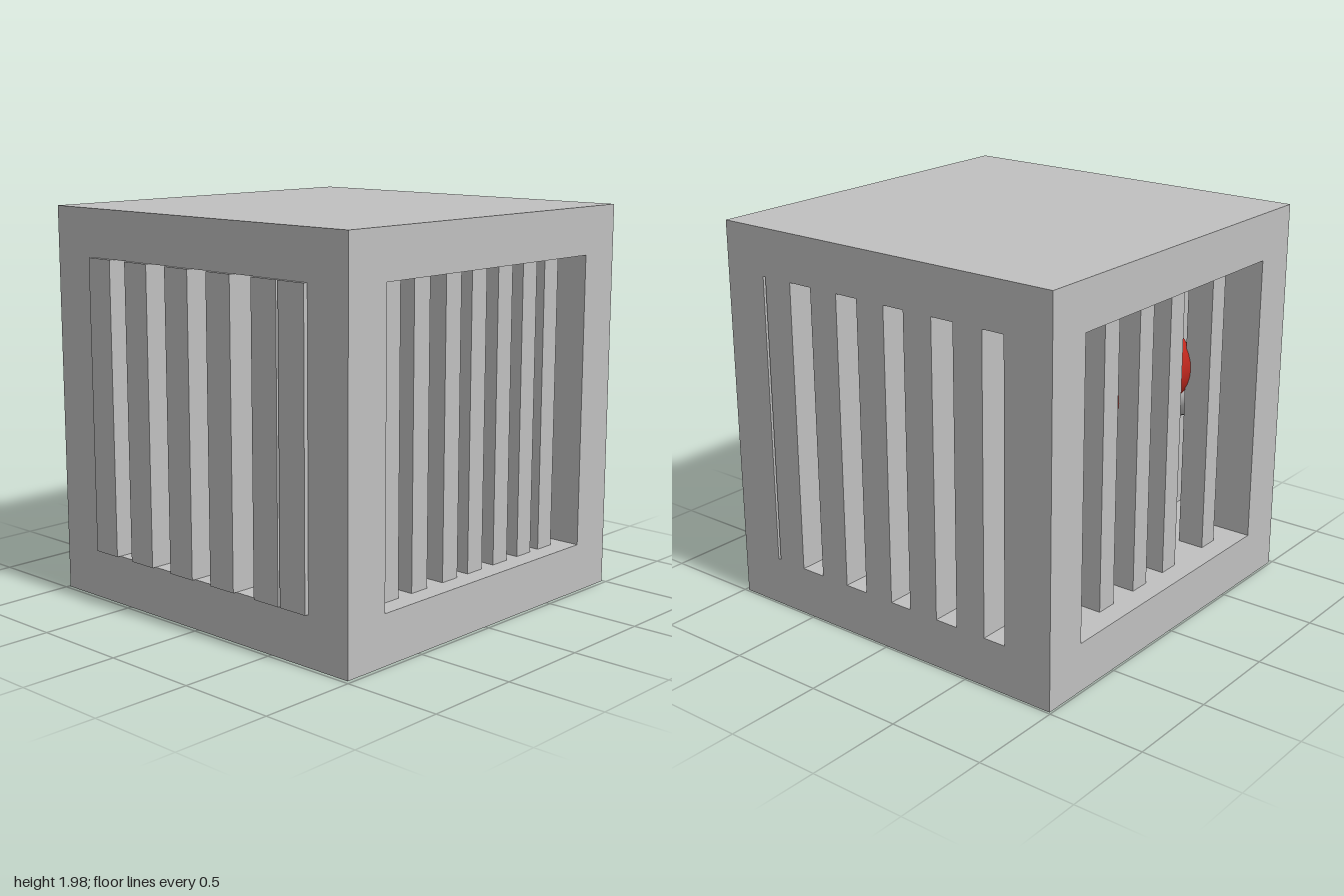
import * as THREE from 'three';
import { toCreasedNormals } from 'three/addons/utils/BufferGeometryUtils.js';
import { RoundedBoxGeometry } from 'three/addons/geometries/RoundedBoxGeometry.js';

const material = (name, color) => Object.assign(new THREE.MeshStandardMaterial({ color }), { name });

export function createModel() {
  const cageGrey = material('cageGrey', 0xc0c0c0);
  const red = material('red', 0xc0281e);
  const dark = material('darkGrey', 0x4a4a4a);
  const brown = material('brown', 0x6b2a0c);

  const model = new THREE.Group();
  model.name = 'cagedEngine';
  const cage = new THREE.Group();
  cage.name = 'cage';
  const engine = new THREE.Group();
  engine.name = 'engine';
  model.add(cage, engine);
  const ENGINE_Z = -0.04; // centre plane of the engine

  const add = (parent, name, geometry, mat) => {
    const mesh = new THREE.Mesh(geometry, mat);
    mesh.name = name;
    parent.add(mesh);
    return mesh;
  };
  // box given by its limits on each axis
  const box = (parent, name, mat, [x0, x1], [y0, y1], [z0, z1], radius = 0) => {
    const size = [x1 - x0, y1 - y0, z1 - z0];
    const geo = radius ? new RoundedBoxGeometry(...size, 4, radius) : new THREE.BoxGeometry(...size);
    add(parent, name, geo, mat).position.set((x0 + x1) / 2, (y0 + y1) / 2, (z0 + z1) / 2);
  };
  // profile of [z, y] points extruded along x
  const extrudeX = (parent, name, mat, points, x0, x1, bevel) => {
    const shape = new THREE.Shape(points.map(([z, y]) => new THREE.Vector2(-z, y)));
    const geo = new THREE.ExtrudeGeometry(shape, {
      depth: x1 - x0 - 2 * bevel, bevelEnabled: bevel > 0, bevelThickness: bevel,
      bevelSize: bevel, bevelOffset: -bevel, bevelSegments: 4,
    });
    geo.rotateY(Math.PI / 2);
    geo.translate(x0 + bevel, 0, 0);
    add(parent, name, toCreasedNormals(geo, 0.5), mat);
  };

  // cage: floor, roof and corner posts
  box(cage, 'floor', cageGrey, [-0.98, 0.99], [0, 0.25], [-0.99, 0.98]);
  box(cage, 'roof', cageGrey, [-0.98, 0.99], [1.74, 1.98], [-0.99, 0.98]);
  const opening = [0.25, 1.74];
  for (const x of [[-0.98, -0.735], [0.755, 0.99]])
    for (const z of [[-0.99, -0.73], [0.74, 0.98]]) box(cage, 'cornerPost', cageGrey, x, opening, z);

  // cage bars on the four sides
  for (const x of [-0.64, -0.435, -0.21, -0.02, 0.18, 0.375, 0.55])
    box(cage, 'frontBar', cageGrey, [x, x + 0.11], opening, [0.74, 0.88]);
  for (const x of [-0.57, -0.2, 0.06, 0.34, 0.625])
    box(cage, 'backBar', cageGrey, [x, x + 0.113], opening, [-0.88, -0.74]);
  for (const z of [-0.61, -0.32, -0.035, 0.26, 0.56])
    box(cage, 'leftBar', cageGrey, [0.84, 0.99], opening, [z, z + 0.165]);
  for (const z of [-0.73, -0.46, -0.17, 0.115, 0.41, 0.58])
    box(cage, 'rightBar', cageGrey, [-1, -0.85], opening, [z, z + 0.158]);

  // engine block, sump and neck
  box(engine, 'upperBlock', cageGrey, [-0.7, 0.5], [0.93, 1.41], [-0.235, 0.155], 0.07);
  box(engine, 'lowerBlock', cageGrey, [-0.7, 0.5], [0.41, 0.84], [-0.225, 0.145], 0.07);
  box(engine, 'neck', cageGrey, [-0.62, 0.42], [0.8, 0.98], [-0.17, 0.09]);
  box(engine, 'sump', dark, [-0.66, 0.35], [0.455, 0.685], [-0.3, 0.265], 0.015);

  // cylinder covers: round outside, pointed towards the middle, on red arms
  for (const side of [1, -1]) {
    const at = (d, y) => [ENGINE_Z + side * d, y];
    const cover = [at(0.275, 1.2)];
    for (let i = 0; i <= 24; i++) {
      const a = Math.PI * (-0.75 + (1.5 * i) / 24);
      cover.push(at(0.52 + 0.21 * Math.cos(a), 1.2 + 0.21 * Math.sin(a)));
    }
    extrudeX(engine, 'cylinderCover', red, cover, -0.5, 0.42, 0.03);
    extrudeX(engine, 'coverArm', red,
      [at(0.1, 0.99), at(0.26, 0.99), at(0.54, 1.09), at(0.5, 1.15), at(0.26, 1.06), at(0.1, 1.06)], -0.46, 0.4, 0);

    // exhaust pipes
    const path = new THREE.CatmullRomCurve3(
      [[0.2, 0.54], [0.3, 0.56], [0.42, 0.67], [0.49, 0.85], [0.57, 0.95], [0.7, 0.99]]
        .map(([d, y]) => new THREE.Vector3(0, y, ENGINE_Z + side * d)));
    for (const x of [-0.575, -0.16, 0.265]) {
      add(engine, 'exhaustPipe', new THREE.TubeGeometry(path, 40, 0.07, 20), cageGrey).position.x = x;
      const cap = add(engine, 'exhaustEnd', new THREE.SphereGeometry(0.07, 20, 12), cageGrey);
      cap.position.set(x, 0.99, ENGINE_Z + side * 0.7);
    }
  }

  // pulleys with rounded rims
  const pulley = (name, d, y, r) => {
    const hub = add(engine, name, new THREE.CylinderGeometry(r - 0.03, r - 0.03, 0.26, 32), cageGrey);
    hub.rotation.z = Math.PI / 2;
    hub.position.set(0.52, y, ENGINE_Z + d);
    for (const x of [0.49, 0.64]) {
      const rim = add(engine, name + 'Rim', new THREE.TorusGeometry(r - 0.025, 0.025, 12, 40), cageGrey);
      rim.rotation.y = Math.PI / 2;
      rim.position.set(x, y, ENGINE_Z + d);
    }
  };
  pulley('crankPulley', 0, 0.595, 0.175);
  pulley('middlePulley', 0, 1.185, 0.13);
  pulley('frontPulley', 0.53, 1.215, 0.14);
  pulley('backPulley', -0.53, 1.215, 0.14);

  // drive belt runs between pulley edges
  const belt = ([z0, y0], [z1, y1]) => {
    const run = add(engine, 'belt', new THREE.BoxGeometry(0.13, 0.018, Math.hypot(z1 - z0, y1 - y0)), dark);
    run.position.set(0.59, (y0 + y1) / 2, (z0 + z1) / 2);
    run.rotation.x = -Math.atan2(y1 - y0, z1 - z0);
  };
  belt([0.47, 1.295], [-0.04, 1.275]);
  belt([-0.04, 1.275], [-0.55, 1.295]);
  belt([0.51, 1.11], [0.06, 0.51]);
  belt([-0.59, 1.14], [-0.14, 0.51]);
  belt([-0.12, 1.16], [-0.145, 0.58]);
  belt([0.06, 0.51], [-0.04, 0.475]);
  belt([-0.04, 0.475], [-0.14, 0.51]);

  // intakes on top: ribbed body, base and cap
  for (const x of [-0.325, 0.035]) {
    box(engine, 'intakeBody', brown, [x - 0.11, x + 0.11], [1.39, 1.49], [-0.1, 0.02]);
    box(engine, 'intakePlate', brown, [x - 0.135, x + 0.135], [1.475, 1.495], [-0.12, 0.04]);
    box(engine, 'intakeCap', brown, [x - 0.11, x + 0.11], [1.49, 1.53], [-0.105, 0.025], 0.01);
    for (let i = 0; i < 10; i++) {
      const rx = x - 0.135 + i * 0.0285;
      box(engine, 'intakeRib', brown, [rx, rx + 0.0135], [1.39, 1.48], [-0.12, 0.04]);
    }
  }
  return model;
}
